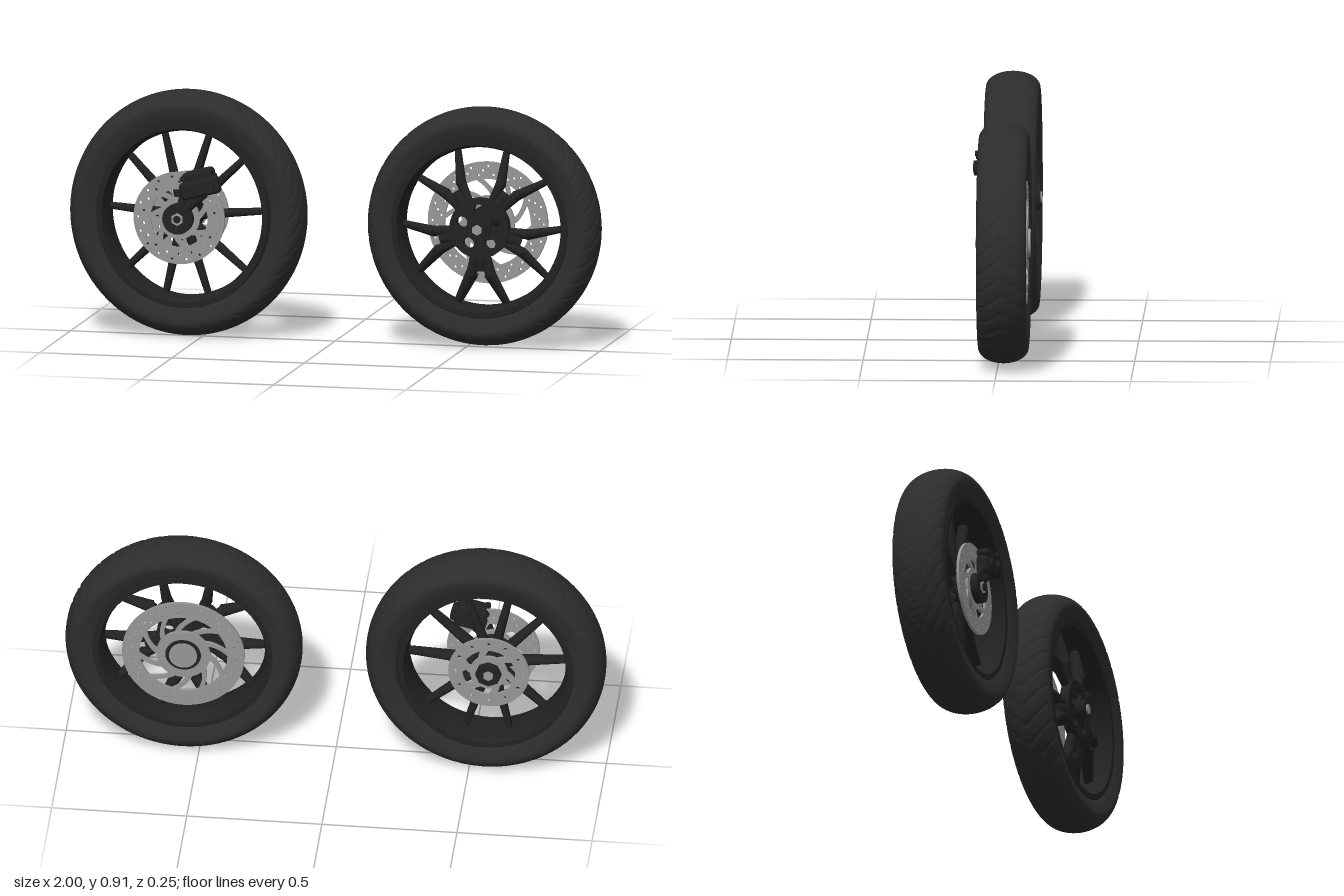
import * as THREE from 'three';
import { mergeVertices, toCreasedNormals } from 'three/addons/utils/BufferGeometryUtils.js';
import { RoundedBoxGeometry } from 'three/addons/geometries/RoundedBoxGeometry.js';

const TAU = Math.PI * 2;
const paint = (name, color) => Object.assign(new THREE.MeshStandardMaterial({ color }), { name });
const rubber = paint('tyre rubber', 0x2d2d2d);
const black = paint('black alloy', 0x222222);
const steel = paint('brushed steel', 0x959795);

function add(parent, name, geo, mat, x = 0, y = 0, z = 0) {
  const mesh = new THREE.Mesh(geo, mat);
  mesh.name = name;
  mesh.position.set(x, y, z);
  parent.add(mesh);
  return mesh;
}

// ring turned around the z axis from a closed [radius, z] profile
function turned(profile, segments) {
  const pts = profile.map(([r, z]) => new THREE.Vector2(r, z));
  pts.push(pts[0].clone());
  return new THREE.LatheGeometry(pts, segments).rotateX(Math.PI / 2);
}

// tyre with rounded crown and V-shaped grooves pressed into it
function tyreGeometry(R, half, grooves, sweep) {
  const shoulder = R - 0.055;
  const profile = [[0.318, -half * 0.72], [0.335, -half * 0.86], [0.352, -half * 0.9], [0.372, -half * 0.985]];
  for (let i = 0; i <= 24; i++) {
    const a = -Math.PI / 2 + (Math.PI * i) / 24;
    profile.push([shoulder + 0.055 * Math.cos(a), half * Math.sin(a)]);
  }
  profile.push([0.372, half * 0.985], [0.352, half * 0.9], [0.335, half * 0.86], [0.318, half * 0.72]);
  let geo = turned(profile, grooves * 10);
  const p = geo.attributes.position;
  for (let i = 0; i < p.count; i++) {
    const x = p.getX(i), y = p.getY(i), r = Math.hypot(x, y), t = Math.abs(p.getZ(i)) / half;
    if (r < shoulder + 0.002) continue;
    const phase = (Math.atan2(y, x) / TAU) * grooves + t * sweep;
    const f = phase - Math.floor(phase);
    if (f < 0.16) p.setXY(i, x * (1 - 0.004 / r), y * (1 - 0.004 / r));
  }
  geo.deleteAttribute('uv');
  geo.deleteAttribute('normal');
  geo = mergeVertices(geo, 1e-5);
  geo.computeVertexNormals();
  return geo;
}

// stepped alloy rim
function rimGeometry(half) {
  const h = half * 0.86;
  return toCreasedNormals(turned([
    [0.298, -0.03], [0.305, -h + 0.02], [0.312, -h], [0.332, -h], [0.34, -h + 0.015],
    [0.34, h - 0.015], [0.332, h], [0.312, h], [0.305, h - 0.02], [0.298, 0.03],
  ].map(([r, z]) => [r, z]), 72), 0.6);
}

const polar = (r, a, z) => new THREE.Vector3(r * Math.cos(a), r * Math.sin(a), z);

// tapered spoke between two points
function bar(parent, name, a, b, w0, w1, deep, mat = black) {
  const dir = b.clone().sub(a);
  const mesh = add(parent, name, toCreasedNormals(new THREE.CylinderGeometry(w1, w0, dir.length(), 8), 0.9), mat);
  mesh.position.copy(a).add(b).multiplyScalar(0.5);
  mesh.quaternion.setFromUnitVectors(new THREE.Vector3(0, 1, 0), dir.normalize());
  mesh.scale.z = deep;
}

const disc = (parent, name, r, depth, mat, z, sides = 32) =>
  add(parent, name, new THREE.CylinderGeometry(r, r, depth, sides).rotateX(Math.PI / 2), mat, 0, 0, z);

// flat ring with rows of round holes: [count, radius, holeRadius, turn]
function plate(parent, name, rOut, rIn, depth, rows, mat, z) {
  const shape = new THREE.Shape().absarc(0, 0, rOut, 0, TAU);
  if (rIn) shape.holes.push(new THREE.Path().absarc(0, 0, rIn, 0, TAU, true));
  for (const [n, r, hole, turn] of rows) {
    for (let i = 0; i < n; i++) {
      const c = polar(r, turn + (i * TAU) / n, 0);
      shape.holes.push(new THREE.Path().absarc(c.x, c.y, hole, 0, TAU, true));
    }
  }
  const geo = new THREE.ExtrudeGeometry(shape, { depth, bevelEnabled: false, curveSegments: 24 });
  return add(parent, name, geo, mat, 0, 0, z - depth / 2);
}

// curved carrier arms joining a disc to its centre
function carrier(parent, n, r0, r1, twist, width, z) {
  for (let i = 0; i < n; i++) {
    const a = (i * TAU) / n;
    const s = new THREE.Shape();
    const at = (r, ang) => polar(r, a + ang, 0);
    const mid = (r0 + r1) / 2;
    const [p, q, c1, s2, t2, c2] = [at(r0, -width / r0), at(r1, twist - width / r1), at(mid, twist * 0.25 - width / mid),
      at(r1, twist + width / r1), at(r0, width / r0), at(mid, twist * 0.25 + width / mid)];
    s.moveTo(p.x, p.y);
    s.quadraticCurveTo(c1.x, c1.y, q.x, q.y);
    s.lineTo(s2.x, s2.y);
    s.quadraticCurveTo(c2.x, c2.y, t2.x, t2.y);
    add(parent, 'discArm', new THREE.ExtrudeGeometry(s, { depth: 0.01, bevelEnabled: false, curveSegments: 6 }), steel, 0, 0, z - 0.005);
  }
}

function group(parent, name, x, y, z) {
  const g = new THREE.Group();
  g.name = name;
  g.position.set(x, y, z);
  parent.add(g);
  return g;
}

// wheel with ten plain spokes, two discs and a caliper
function plainWheel(root) {
  const wheel = group(root, 'tenSpokeWheel', -0.557, 0.462, -0.02);
  add(wheel, 'tyre', tyreGeometry(0.444, 0.099, 36, 2.2), rubber).scale.y = 1.03;
  const rim = add(wheel, 'rim', rimGeometry(0.099), black, -0.006, -0.002);
  rim.scale.set(0.975, 1.04, 1);
  const hub = group(wheel, 'hubAssembly', -0.018, -0.01, 0);
  for (const deg of [3, 42, 73, 107, 138, 177, 221, 254, 286, 319]) {
    const a = (deg * Math.PI) / 180;
    const end = polar(0.3, a, 0).multiply(new THREE.Vector3(0.97, 1.04, 1)).add(new THREE.Vector3(0.012, 0.008, 0));
    bar(hub, 'spoke', polar(0.04, a, 0), end, 0.02, 0.013, 1.6);
  }
  disc(hub, 'hubBarrel', 0.065, 0.16, black, 0);
  // front brake disc
  plate(hub, 'brakeDisc', 0.172, 0.108, 0.01, [[18, 0.155, 0.005, 0], [18, 0.135, 0.005, 0.17]], steel, 0.08);
  carrier(hub, 7, 0.06, 0.112, 0.45, 0.013, 0.08);
  plate(hub, 'discCentre', 0.078, 0.03, 0.012, [], steel, 0.08);
  disc(hub, 'hubCap', 0.057, 0.03, black, 0.098);
  disc(hub, 'axleNut', 0.024, 0.008, steel, 0.114, 6);
  disc(hub, 'axleBolt', 0.014, 0.012, black, 0.115, 12);
  // rear disc
  plate(hub, 'backDisc', 0.15, 0.098, 0.01, [[12, 0.125, 0.007, 0]], steel, -0.078);
  carrier(hub, 6, 0.055, 0.102, 0.4, 0.015, -0.078);
  plate(hub, 'backDiscCentre', 0.07, 0.03, 0.012, [], steel, -0.078);
  disc(hub, 'backCap', 0.048, 0.024, black, -0.09, 8);
  disc(hub, 'backNut', 0.02, 0.008, steel, -0.104, 6);
  // caliper hung over the upper disc edge
  const caliper = group(hub, 'brakeCaliper', 0.085, 0.12, 0.105);
  caliper.rotation.z = 0.25;
  add(caliper, 'caliperBody', new RoundedBoxGeometry(0.15, 0.065, 0.05, 2, 0.014), black);
  add(caliper, 'caliperBridge', new RoundedBoxGeometry(0.11, 0.045, 0.08, 2, 0.012), black, 0, 0.042, -0.02);
  add(caliper, 'caliperInner', new RoundedBoxGeometry(0.12, 0.06, 0.025, 2, 0.01), black, 0, 0.01, -0.05);
  for (const s of [-1, 1]) {
    disc(caliper, 'piston', 0.024, 0.014, black, 0.03, 16).position.x = s * 0.036;
    disc(caliper, 'caliperBolt', 0.011, 0.07, black, 0, 8).position.set(s * 0.05, 0.048, -0.005);
  }
  bar(hub, 'caliperBracket', new THREE.Vector3(0.01, 0.03, 0.098), new THREE.Vector3(0.04, 0.15, 0.1), 0.02, 0.018, 0.7);
  bar(hub, 'caliperBracket', new THREE.Vector3(0.02, 0.03, 0.098), new THREE.Vector3(0.1, 0.1, 0.1), 0.018, 0.018, 0.7);
}

// wheel with five forked arms and one large disc behind
function forkedWheel(root) {
  const wheel = group(root, 'forkedSpokeWheel', 0.561, 0.453, -0.02);
  add(wheel, 'tyre', tyreGeometry(0.438, 0.092, 38, 1.1), rubber).scale.y = 1.013;
  add(wheel, 'rim', rimGeometry(0.092), black, -0.004);
  const hub = group(wheel, 'hubAssembly', -0.006, 0, 0);
  for (let i = 0; i < 5; i++) {
    const a = -Math.PI / 2 + (i * TAU) / 5;
    bar(hub, 'forkArm', polar(0.085, a, 0.045), polar(0.16, a, 0.035), 0.03, 0.022, 0.8);
    for (const s of [-1, 1]) {
      bar(hub, 'spoke', polar(0.095, a + s * 0.22, 0.045), polar(0.185, a + s * 0.2, 0.035), 0.014, 0.02, 1.1);
      bar(hub, 'spoke', polar(0.175, a + s * 0.19, 0.037), polar(0.308, a + s * 0.32, 0.01), 0.02, 0.012, 1.4);
    }
  }
  plate(hub, 'starPlate', 0.112, 0, 0.035, [[5, 0.069, 0.021, Math.PI / 2]], black, 0.05);
  disc(hub, 'hubBarrel', 0.045, 0.17, black, 0);
  disc(hub, 'hubCap', 0.036, 0.03, black, 0.085);
  disc(hub, 'axleNut', 0.02, 0.014, steel, 0.098, 6);
  // large drilled disc with swirling carrier
  plate(hub, 'brakeDisc', 0.227, 0.163, 0.012, [[20, 0.21, 0.005, 0], [20, 0.194, 0.005, 0.1], [20, 0.178, 0.005, 0.2]], steel, -0.08);
  carrier(hub, 10, 0.085, 0.168, 0.55, 0.012, -0.082);
  plate(hub, 'discCentre', 0.1, 0.06, 0.014, [], steel, -0.082);
  disc(hub, 'discBoss', 0.066, 0.02, black, -0.08);
  disc(hub, 'discCap', 0.052, 0.02, steel, -0.088);
}

export function createModel() {
  const root = new THREE.Group();
  root.name = 'wheelPair';
  plainWheel(root);
  forkedWheel(root);
  return root;
}
